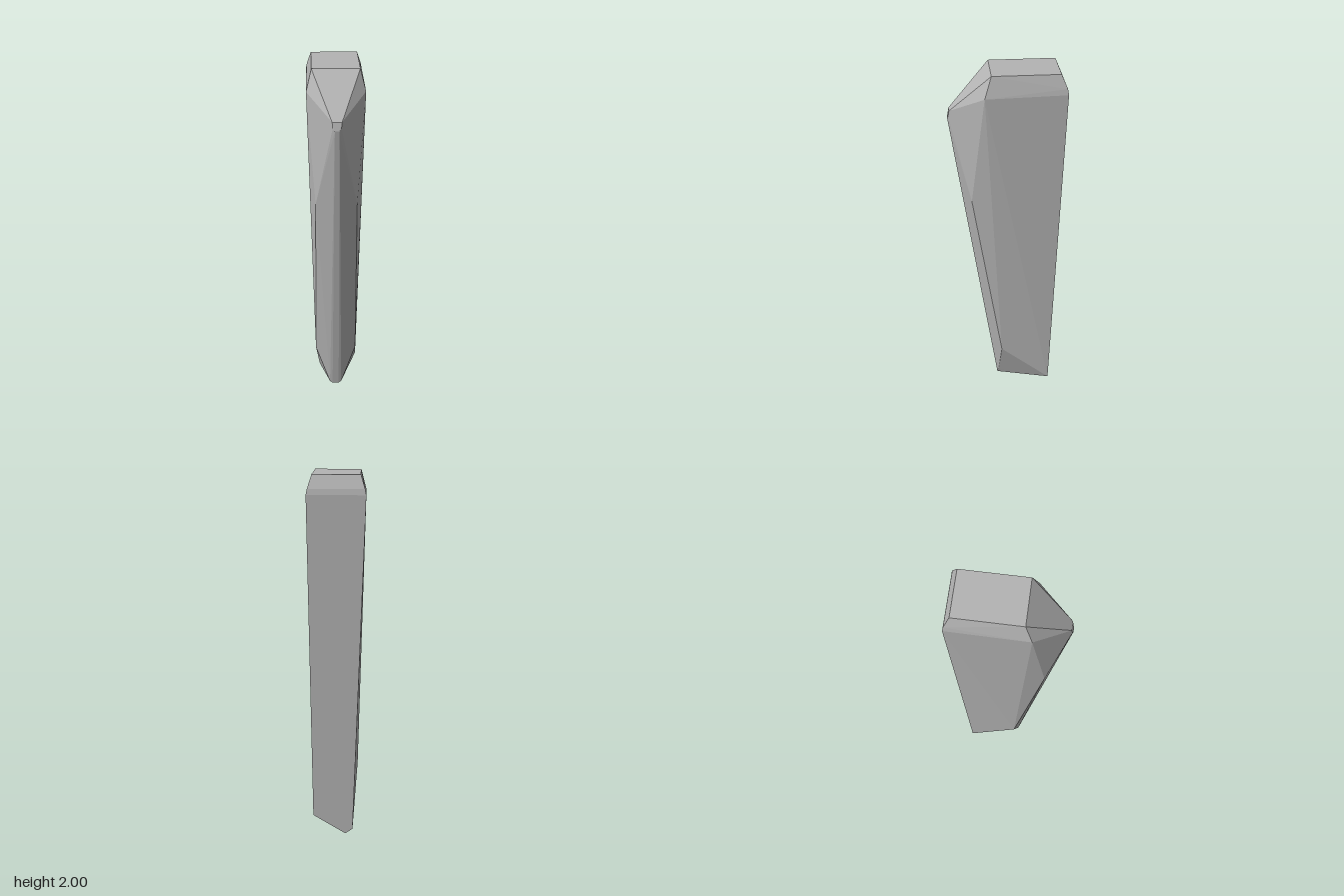
import * as THREE from 'three';
import { ConvexGeometry } from 'three/addons/geometries/ConvexGeometry.js';

export function createModel() {
  const group = new THREE.Group();
  group.name = 'stonePillar';
  const stone = new THREE.MeshStandardMaterial({ color: 0xb4b4b4 });
  stone.name = 'grey stone';
  stone.flatShading = true;

  // corners that occur on both sides: [x, y, z]
  const mirrored = [
    [0.125, 2, -0.27], [0.125, 2, 0.082],                           // flat top
    [0.147, 1.93, -0.3], [0.153, 1.9, -0.305], [0.153, 1.89, 0.118], // shoulder
    [0.025, 1.785, 0.295], [0.022, 1.755, 0.3], [0.012, 1.74, 0.305], // blunt nose
    [0.11, 1.3, 0.19], [0.115, 0.32, 0.032],                        // front facet edges
    [0.042, 0.115, 0.046], [0.033, 0.093, 0.05], [0.018, 0.083, 0.052], // rounded foot
  ];
  // slanted underside at the back
  const foot = [[0.13, 0.11, -0.24], [-0.09, 0.03, -0.243], [-0.05, 0, -0.241]];

  const points = foot.map(p => new THREE.Vector3(...p));
  for (const [x, y, z] of mirrored) {
    for (const side of [-1, 1]) points.push(new THREE.Vector3(side * x, y, z));
  }
  const body = new THREE.Mesh(new ConvexGeometry(points), stone);
  body.name = 'pillarBody';
  group.add(body);
  return group;
}
